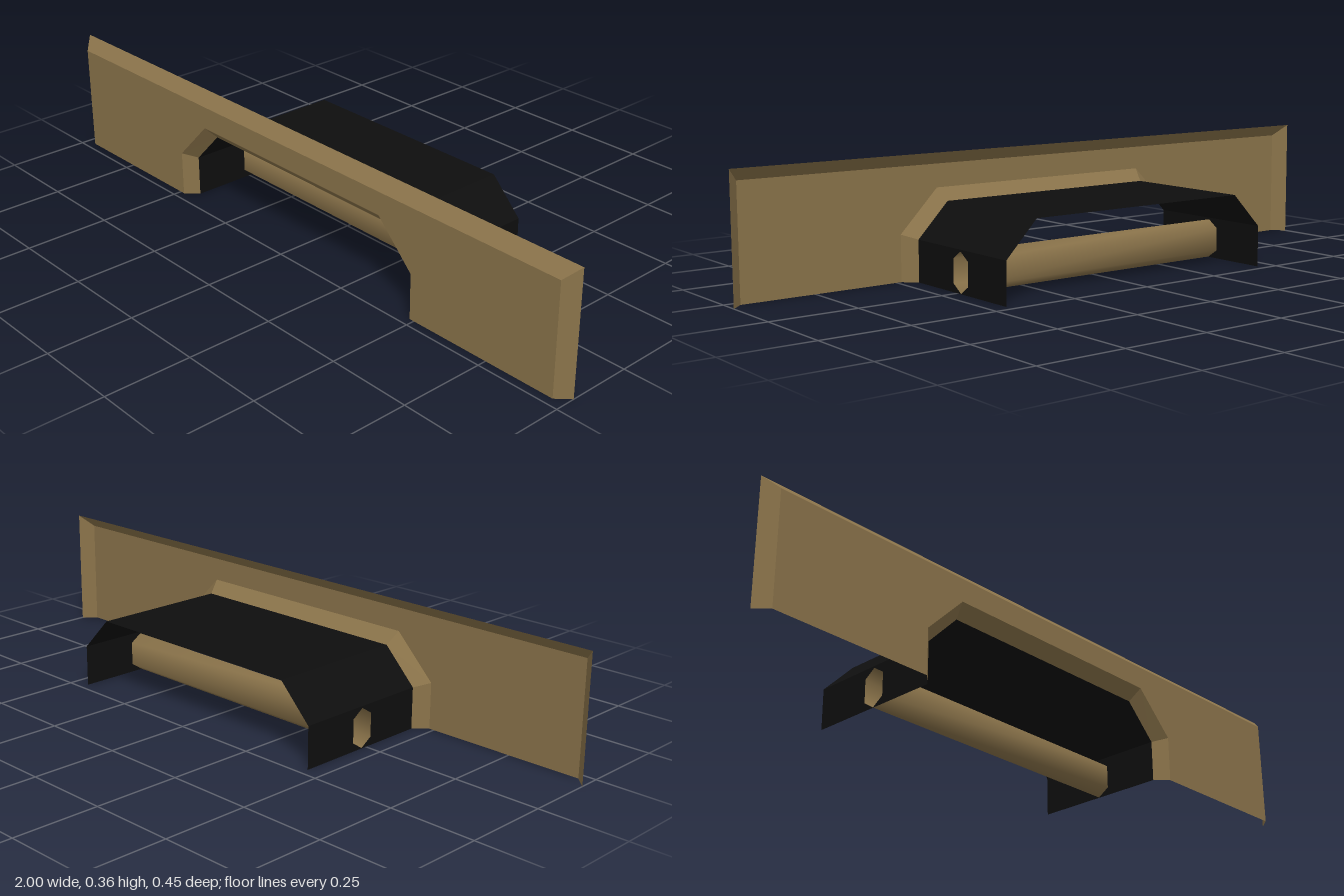
import * as THREE from 'three';

const brass = new THREE.MeshStandardMaterial({ color: 0x8a734a, side: THREE.DoubleSide });
brass.name = 'bronze';
const black = new THREE.MeshStandardMaterial({ color: 0x0e0e0e, side: THREE.DoubleSide });
black.name = 'black';

const FRONT = 0.224, PLATE_BACK = 0.189, HOOD_BACK = -0.224;

// Open outline that rises from the ground on one side and returns on the other
const mirrored = (half) => [...half, ...half.map(([x, y]) => [-x, y]).reverse()];
const outerFront = mirrored([[0.965, 0], [0.965, 0.321]]);
const outerBack = mirrored([[1, 0], [1, 0.356]]);
const openingFront = mirrored([[0.485, 0], [0.485, 0.133], [0.365, 0.254]]);
const openingBack = mirrored([[0.45, 0], [0.45, 0.12], [0.353, 0.219]]);

// Hexagon shared by the side holes and the roller, as [z, y]
const hexagon = [[-0.017, 0.115], [0.018, 0.092], [0.018, 0.024],
  [-0.017, 0.001], [-0.051, 0.024], [-0.051, 0.092]];

const at = (outline, z) => outline.map(([x, y]) => new THREE.Vector3(x, y, z));
const shapeOf = (pts) => new THREE.Shape(pts.map(([x, y]) => new THREE.Vector2(x, y)));

// Flat-faced strip between two outlines with the same number of points
function strip(a, b, skip = []) {
  const pts = [];
  for (let i = 0; i < a.length - 1; i++) {
    if (skip.includes(i)) continue;
    pts.push(a[i], a[i + 1], b[i + 1], a[i], b[i + 1], b[i]);
  }
  const g = new THREE.BufferGeometry().setFromPoints(pts);
  g.computeVertexNormals();
  return g;
}

export function createModel() {
  const group = new THREE.Group();
  const add = (name, geometry, material) => {
    const mesh = new THREE.Mesh(geometry, material);
    mesh.name = name;
    group.add(mesh);
    return mesh;
  };

  // Front plate with an arched cut-out, bevelled around both edges and open behind
  const face = shapeOf([...outerFront, ...[...openingFront].reverse()]);
  add('frontPlate', new THREE.ShapeGeometry(face), brass).position.z = FRONT;
  add('plateBevel', strip(at(outerFront, FRONT), at(outerBack, PLATE_BACK)), brass);
  add('openingBevel', strip(at(openingBack, PLATE_BACK), at(openingFront, FRONT)), brass);

  // Hood behind the opening: sloped roof, then side walls pierced by the hexagon
  const last = openingBack.length - 2;
  add('hoodRoof', strip(at(openingBack, PLATE_BACK), at(openingBack, HOOD_BACK), [0, last]), black);
  const wall = shapeOf([[PLATE_BACK, 0], [PLATE_BACK, 0.12], [HOOD_BACK, 0.12], [HOOD_BACK, 0]]);
  wall.holes.push(shapeOf(hexagon));
  for (const side of [1, -1]) {
    const geometry = new THREE.ShapeGeometry(wall);
    geometry.rotateY(-Math.PI / 2);
    if (side > 0) geometry.rotateY(Math.PI).scale(1, 1, -1);
    add(side > 0 ? 'leftHoodWall' : 'rightHoodWall', geometry, black).position.x = side * 0.45;
  }

  // Hollow six-sided roller with smooth shading, open at both ends
  const positions = [], index = [];
  hexagon.forEach(([z, y], i) => {
    positions.push(-0.45, y, z, 0.45, y, z);
    const a = 2 * i, b = 2 * ((i + 1) % hexagon.length);
    index.push(a, b, a + 1, a + 1, b, b + 1);
  });
  const roller = new THREE.BufferGeometry();
  roller.setAttribute('position', new THREE.Float32BufferAttribute(positions, 3));
  roller.setIndex(index);
  roller.computeVertexNormals();
  // Face order must leave the normals pointing away from the axis
  if (roller.attributes.normal.getY(0) < 0) {
    roller.setIndex(index.reverse());
    roller.computeVertexNormals();
  }
  add('roller', roller, brass);

  return group;
}
